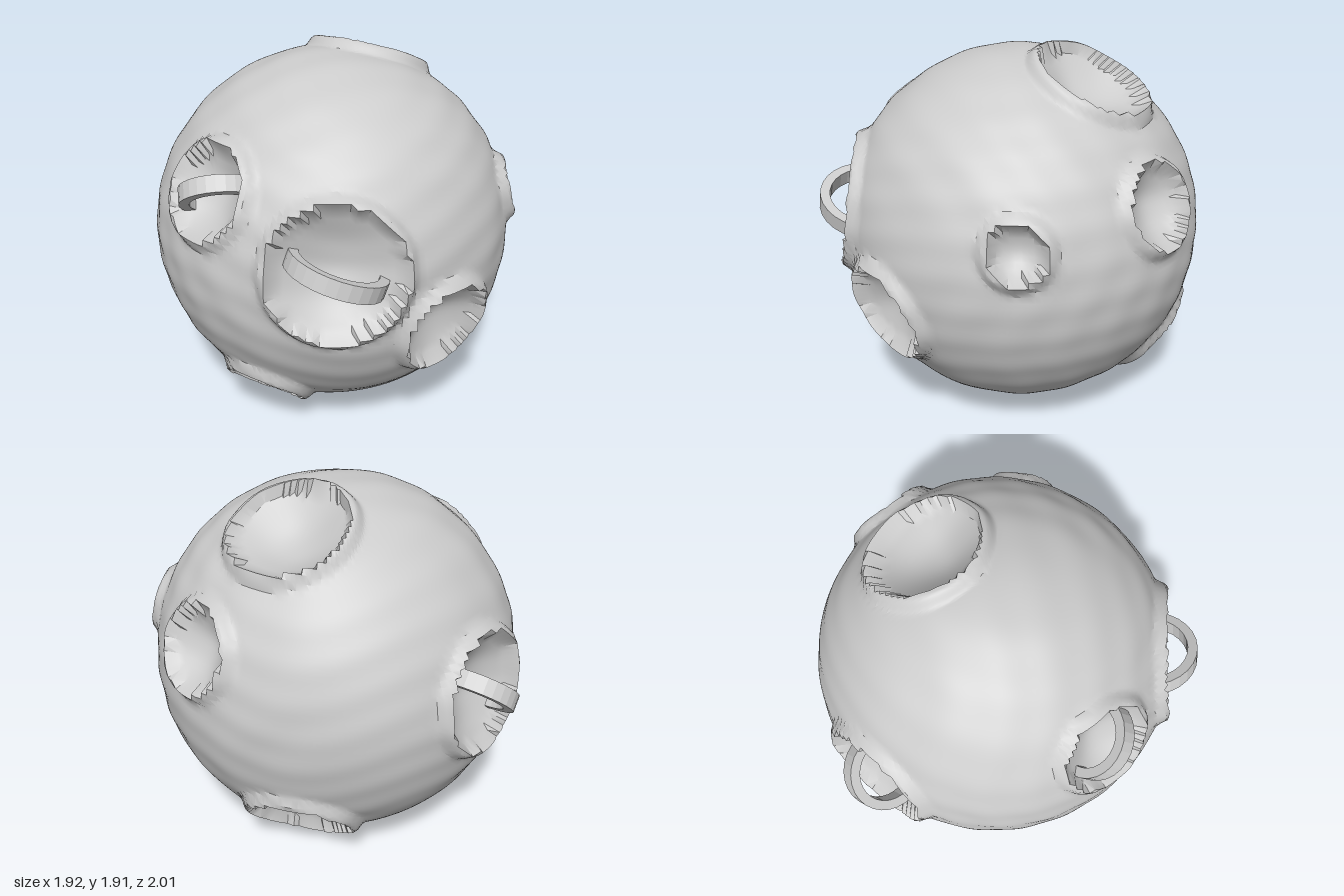
import * as THREE from 'three';
import { toCreasedNormals } from 'three/addons/utils/BufferGeometryUtils.js';

const CENTRE = new THREE.Vector3(-0.015, 0.94, -0.058);
const RADIUS = 0.938;

// Craters: direction from the centre and bowl radius
const craters = [
  { dir: [0.20, 0.87, -0.36], r: 0.28 },
  { dir: [0.05, 0.15, 0.91], r: 0.32 },
  { dir: [0.59, -0.245, 0.70], r: 0.23 },
  { dir: [-0.32, -0.67, 0.57], r: 0.185 },
  { dir: [-0.57, 0.43, 0.60], r: 0.22 },
  { dir: [0.92, 0.24, 0.05], r: 0.125 },
  { dir: [0.63, 0.34, -0.65], r: 0.19 },
  { dir: [0.13, -0.61, -0.72], r: 0.25 },
  { dir: [-0.77, 0.09, -0.53], r: 0.285 },
].map(c => ({ r: c.r, n: new THREE.Vector3(...c.dir).normalize() }));

// Handles: crater index, direction of the span, arch radius, height of the arch centre
const handles = [
  { crater: 1, span: [0.46, -0.16, 0], r: 0.25, base: 0.825 },
  { crater: 4, span: [0.29, 0.19, 0.18], r: 0.205, base: 0.84 },
  { crater: 8, span: [-0.16, -0.27, 0.24], r: 0.21, base: 0.86 },
];

// Faint uneven ripples over the rock
function ripple(d) {
  return 0.002 * Math.sin(34 * d.y + 3 * Math.sin(4 * d.x + 1) + 3 * d.z)
    + 0.002 * Math.sin(23 * d.z + 9 * d.x + 3 * Math.sin(5 * d.y))
    + 0.002 * Math.sin(5 * d.x - 4 * d.y + 3 * d.z);
}

// Distance of the surface from the centre: bowl, flat raised lip, short outer slope
function surfaceRadius(d) {
  let bowl = 0, lip = 0;
  for (const { n, r } of craters) {
    const s = RADIUS * d.angleTo(n);
    if (s < r) bowl = Math.min(bowl, -0.01 - 0.52 * r * (1 - (s / r) ** 2));
    else lip = Math.max(lip, 0.045 * (1 - THREE.MathUtils.smoothstep(s, r + 0.02, r + 0.08)));
  }
  return RADIUS + ripple(d) + (bowl < 0 ? bowl : lip);
}

function rockGeometry() {
  const geo = new THREE.SphereGeometry(1, 192, 96);
  const pos = geo.attributes.position;
  const d = new THREE.Vector3();
  for (let i = 0; i < pos.count; i++) {
    d.fromBufferAttribute(pos, i).normalize();
    d.multiplyScalar(surfaceRadius(d));
    pos.setXYZ(i, d.x, d.y, d.z);
  }
  geo.deleteAttribute('uv');
  geo.computeVertexNormals();
  return toCreasedNormals(geo, 0.6);
}

// Flat band bent into a half ring, spanning x and rising along y
function handleGeometry(r) {
  const shape = new THREE.Shape();
  shape.absarc(0, 0, r, 0, Math.PI, false);
  shape.absarc(0, 0, r - 0.05, Math.PI, 0, true);
  const width = 0.085;
  const geo = new THREE.ExtrudeGeometry(shape, { depth: width, bevelEnabled: false, curveSegments: 7 });
  return geo.translate(0, 0, -width / 2);
}

export function createModel() {
  const model = new THREE.Group();
  model.name = 'crateredRock';
  const stone = new THREE.MeshStandardMaterial({ color: 0xcccccc });
  stone.name = 'stoneGrey';

  const rock = new THREE.Mesh(rockGeometry(), stone);
  rock.name = 'rock';
  rock.position.copy(CENTRE);
  model.add(rock);

  handles.forEach((h, i) => {
    const up = craters[h.crater].n;
    const span = new THREE.Vector3(...h.span);
    span.addScaledVector(up, -span.dot(up)).normalize();
    const side = new THREE.Vector3().crossVectors(span, up);
    const handle = new THREE.Mesh(handleGeometry(h.r), stone);
    handle.name = 'handle' + (i + 1);
    handle.quaternion.setFromRotationMatrix(new THREE.Matrix4().makeBasis(span, up, side));
    handle.position.copy(CENTRE).addScaledVector(up, h.base);
    model.add(handle);
  });
  return model;
}
